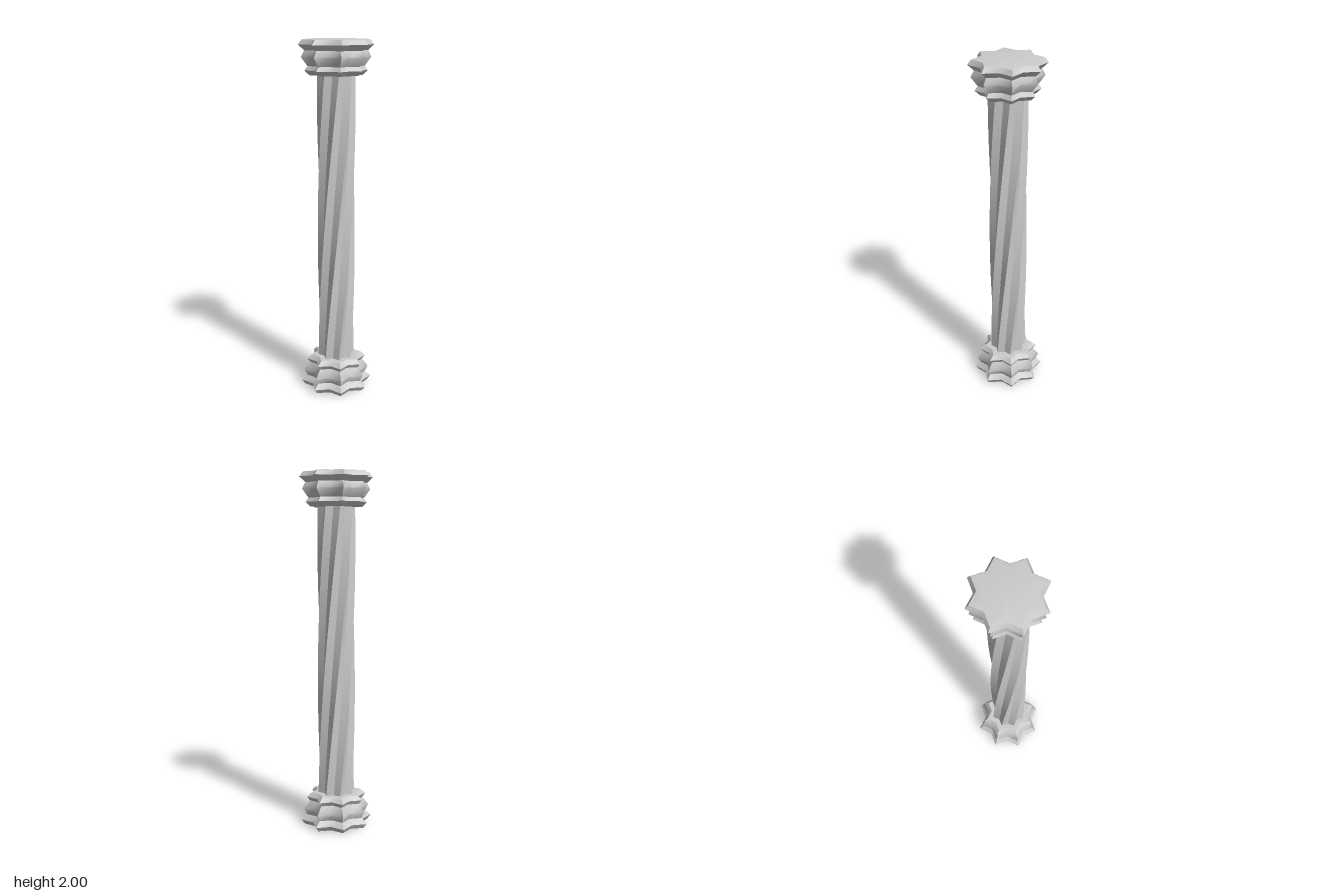
import * as THREE from 'three';
import { toCreasedNormals } from 'three/addons/utils/BufferGeometryUtils.js';

const POINTS = 8;
const SIDES = POINTS * 2;
const VALLEY = 0.765; // valley radius relative to the star's tips

// Lofts eight-pointed star sections [tipRadius, y, twist], bottom to top, with closed ends
function starLoft(sections, crease) {
  const pos = [], index = [];
  for (const [r, y, twist = 0] of sections) {
    for (let j = 0; j < SIDES; j++) {
      const a = (j / SIDES) * Math.PI * 2 + twist;
      const d = j % 2 ? r * VALLEY : r;
      pos.push(d * Math.sin(a), y, d * Math.cos(a));
    }
  }
  const last = (sections.length - 1) * SIDES;
  const bottom = last + SIDES, top = bottom + 1;
  pos.push(0, sections[0][1], 0, 0, sections[sections.length - 1][1], 0);
  for (let j = 0; j < SIDES; j++) {
    const k = (j + 1) % SIDES;
    for (let o = 0; o < last; o += SIDES) {
      index.push(o + j, o + k, o + SIDES + k, o + j, o + SIDES + k, o + SIDES + j);
    }
    index.push(bottom, k, j, top, last + j, last + k);
  }
  const g = new THREE.BufferGeometry();
  g.setAttribute('position', new THREE.Float32BufferAttribute(pos, 3));
  g.setIndex(index);
  return toCreasedNormals(g, crease);
}

export function createModel() {
  const group = new THREE.Group();
  const material = new THREE.MeshStandardMaterial({ color: 0xcccccc });
  const add = (name, geometry) => {
    const mesh = new THREE.Mesh(geometry, material);
    mesh.name = name;
    group.add(mesh);
  };

  // Stepped star mouldings: the capital is the base turned upside down
  const moulding = [
    [0.15, 0], [0.185, 0.004], [0.205, 0.03], [0.172, 0.06],
    [0.19, 0.095], [0.155, 0.142], [0.172, 0.165], [0.145, 0.19],
  ];
  add('base', starLoft(moulding, 0.85));
  add('capital', starLoft(moulding.map(([r, y]) => [r, 2 - y]).reverse(), 0.85));

  // Fluted shaft making a quarter turn from base to capital
  const shaft = [];
  const steps = 32;
  for (let i = 0; i <= steps; i++) {
    const t = i / steps;
    shaft.push([0.105, 0.18 + t * 1.64, t * Math.PI / 2]);
  }
  add('twistedShaft', starLoft(shaft, 0.6));

  return group;
}
